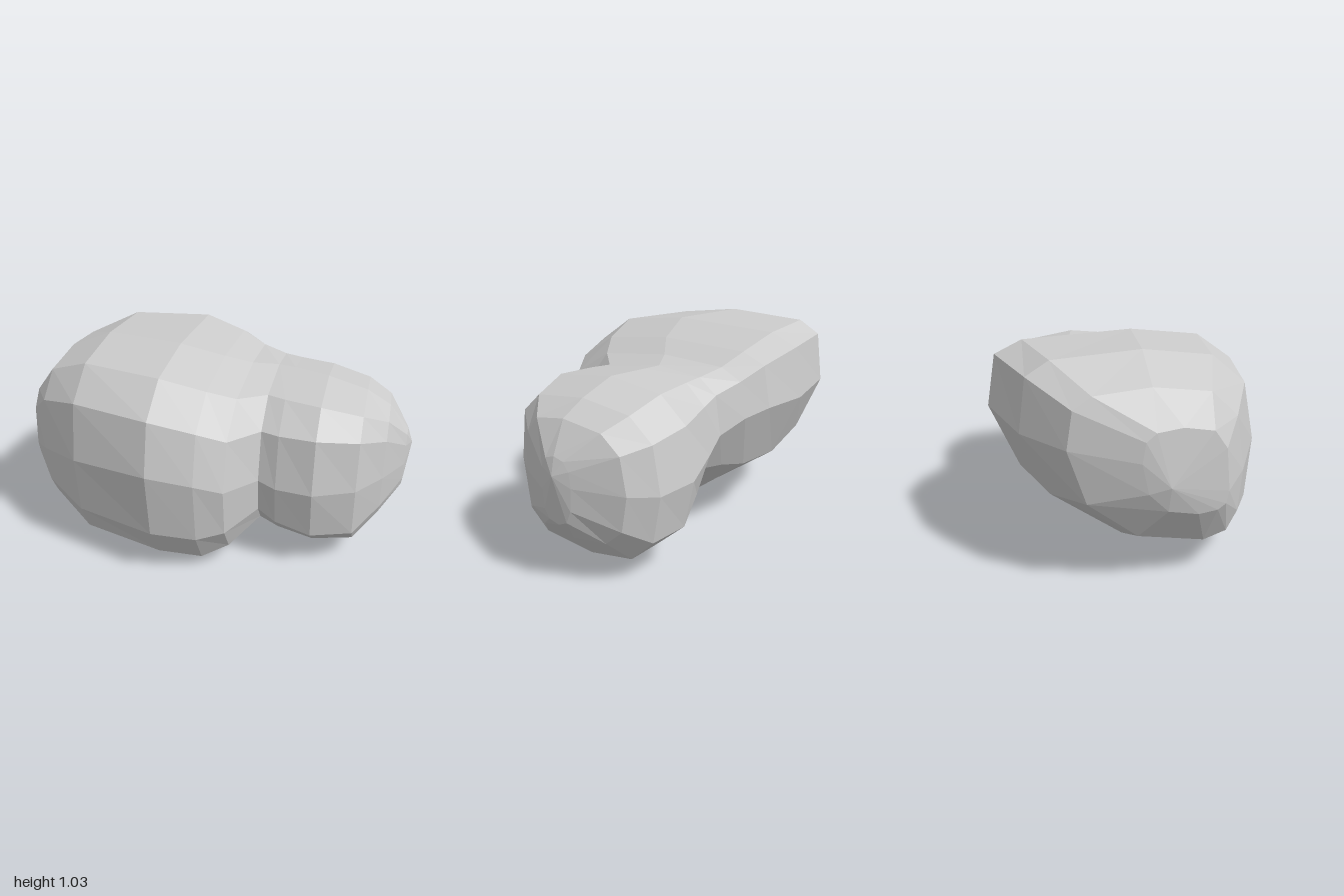
import * as THREE from 'three';

// Cross-sections along x. Each: x, then [z, y] of the front, top, back and bottom extremes,
// then the roundness of the front, back-top and back-bottom quarters (lower is boxier).
const SECTIONS = [
  [-0.97, [0.24, 0.46], [0.02, 0.77], [-0.16, 0.63], [0.1, 0.37], 0.65, 0.6, 0.9],
  [-0.86, [0.36, 0.5], [-0.08, 0.92], [-0.45, 0.68], [0.18, 0.18], 0.7, 0.5, 1.0],
  [-0.62, [0.53, 0.55], [-0.04, 1.025], [-0.6, 0.69], [0.28, 0.05], 0.75, 0.42, 1.1],
  [-0.2, [0.67, 0.59], [0.05, 1.03], [-0.67, 0.7], [0.3, 0.01], 0.78, 0.4, 1.1],
  [0.02, [0.63, 0.55], [0.0, 0.965], [-0.61, 0.69], [0.3, 0.0], 0.78, 0.42, 1.1],
  [0.15, [0.57, 0.5], [-0.08, 0.91], [-0.55, 0.66], [0.27, 0.07], 0.8, 0.5, 1.15],
  [0.28, [0.38, 0.48], [-0.14, 0.89], [-0.49, 0.6], [0.14, 0.18], 0.75, 0.6, 1.15],
  [0.37, [0.41, 0.46], [-0.12, 0.89], [-0.49, 0.53], [0.04, 0.12], 0.7, 0.65, 0.95],
  [0.55, [0.43, 0.46], [-0.06, 0.885], [-0.52, 0.47], [-0.06, 0.06], 0.65, 0.72, 0.8],
  [0.75, [0.34, 0.46], [-0.06, 0.83], [-0.48, 0.46], [-0.08, 0.07], 0.58, 0.7, 0.75],
  [0.87, [0.19, 0.47], [-0.05, 0.765], [-0.39, 0.48], [-0.08, 0.2], 0.6, 0.7, 0.7],
  [0.97, [0.0, 0.46], [-0.08, 0.63], [-0.17, 0.5], [-0.09, 0.31], 0.7, 0.8, 0.8],
];
const STEPS = 3; // facets per quarter

// One closed ring: four superelliptic quarters, front > top > back > bottom
function ring([x, front, top, back, bottom, round, backTop, backBottom]) {
  const pts = [];
  const quarter = (side, pole, p, rising) => {
    for (let k = 0; k < STEPS; k++) {
      const a = ((rising ? k : STEPS - k) / STEPS) * Math.PI / 2;
      const c = Math.pow(Math.max(0, Math.cos(a)), p);
      const s = Math.pow(Math.max(0, Math.sin(a)), p);
      pts.push([x, side[1] + (pole[1] - side[1]) * s, pole[0] + (side[0] - pole[0]) * c]);
    }
  };
  quarter(front, top, round, true);
  quarter(back, top, backTop, false);
  quarter(back, bottom, backBottom, true);
  quarter(front, bottom, round, false);
  return pts;
}

// Skin the rings and close both ends with fans
function loft(rings, startTip, endTip) {
  const n = rings[0].length;
  const positions = rings.flat(2).concat(startTip, endTip);
  const start = rings.length * n, end = start + 1;
  const index = [];
  for (let j = 0; j < n; j++) {
    const k = (j + 1) % n;
    for (let i = 0; i < rings.length - 1; i++) {
      const a = i * n + j, b = i * n + k, c = a + n, d = b + n;
      index.push(a, c, b, b, c, d);
    }
    const last = (rings.length - 1) * n;
    index.push(start, j, k, end, last + k, last + j);
  }
  let geo = new THREE.BufferGeometry();
  geo.setAttribute('position', new THREE.Float32BufferAttribute(positions, 3));
  geo.setIndex(index);
  geo = geo.toNonIndexed();
  geo.computeVertexNormals();
  return geo;
}

export function createModel() {
  const group = new THREE.Group();
  group.name = 'boulder';
  const material = new THREE.MeshStandardMaterial({ color: 0xcccccc, flatShading: true });
  // Two-lobed stone with a pinched waist
  const stone = new THREE.Mesh(loft(SECTIONS.map(ring), [-1, 0.52, -0.04], [1, 0.55, -0.09]), material);
  stone.name = 'stone';
  group.add(stone);
  return group;
}
